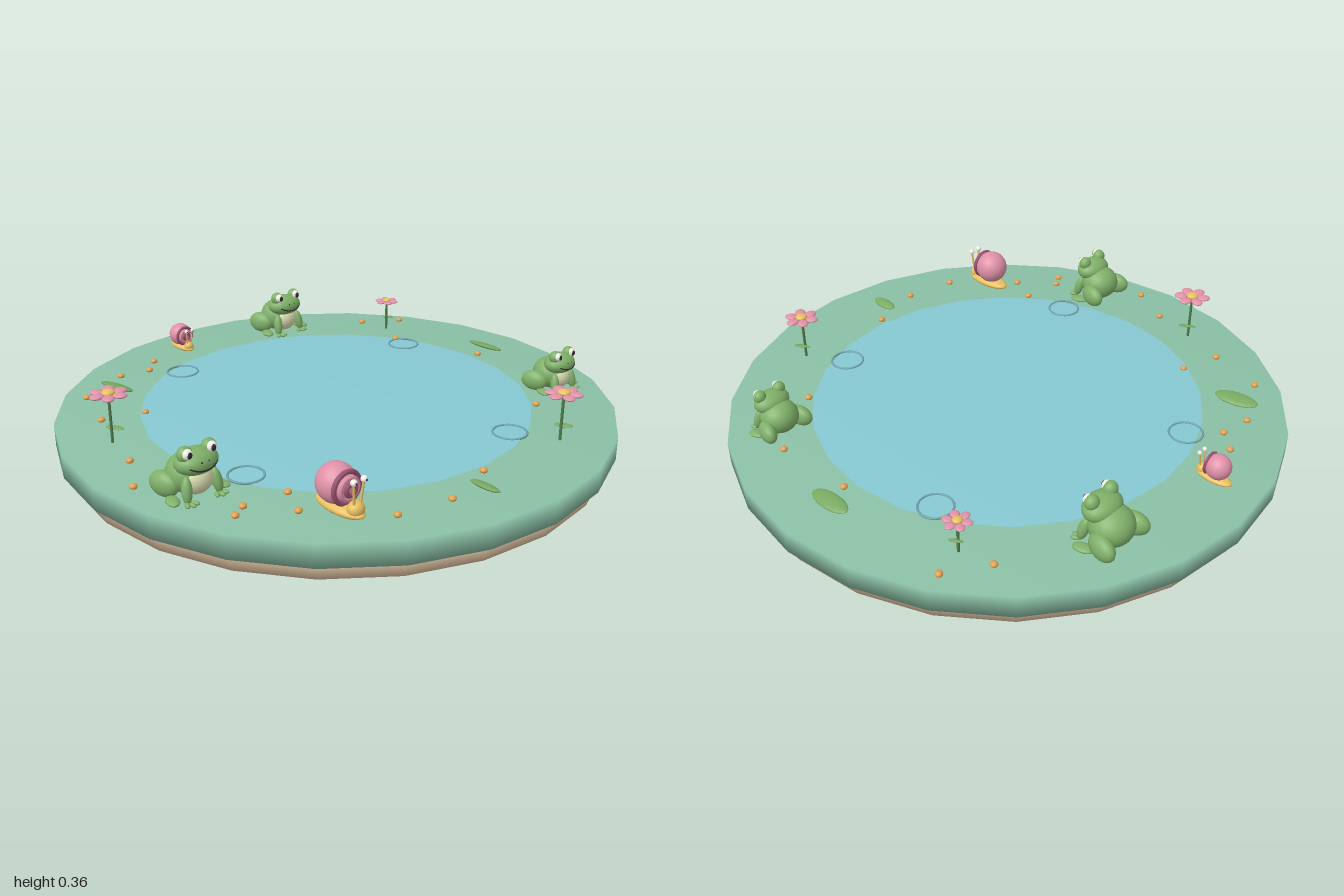
import * as THREE from 'three';

const mat = (color) => new THREE.MeshStandardMaterial({ color });
const M = {
  rim: mat(0x8bc0a6), water: mat(0x86c8d2), sand: mat(0xe3c7a5), ripple: mat(0x6fa6b2),
  frog: mat(0x7fb069), belly: mat(0xd9ddb0), white: mat(0xf6f3ea), dark: mat(0x2b2b30),
  pink: mat(0xe091a8), whorl: mat(0x9a5270), yellow: mat(0xe8bf60), pebble: mat(0xe0a050),
  stem: mat(0x4f7f4a), leaf: mat(0x77a860),
};
const GROUND = 0.168;

function add(parent, name, geo, material, pos = [0, 0, 0], rot = [0, 0, 0]) {
  const m = new THREE.Mesh(geo, material);
  m.name = name;
  m.position.set(...pos);
  m.rotation.set(...rot);
  parent.add(m);
  return m;
}

// Ellipsoid with the given radii
function blob(parent, name, material, pos, radii, rot) {
  const m = add(parent, name, new THREE.SphereGeometry(1, 20, 14), material, pos, rot);
  m.scale.set(...radii);
  return m;
}

// Straight round rod between two points
function rod(parent, name, material, a, b, r) {
  const path = new THREE.LineCurve3(new THREE.Vector3(...a), new THREE.Vector3(...b));
  return add(parent, name, new THREE.TubeGeometry(path, 1, r, 8), material);
}

function disc(parent, name, material, profile) {
  const pts = profile.map(([x, y]) => new THREE.Vector2(x, y));
  return add(parent, name, new THREE.LatheGeometry(pts, 24), material);
}

function place(parent, group, name, x, z, s = 1) {
  group.name = name;
  group.position.set(x, GROUND, z);
  group.scale.setScalar(s);
  parent.add(group);
}

function makeFrog() {
  const g = new THREE.Group();
  blob(g, 'body', M.frog, [0, 0.068, -0.01], [0.076, 0.066, 0.074]);
  blob(g, 'belly', M.belly, [0, 0.06, 0.022], [0.056, 0.052, 0.053]);
  blob(g, 'head', M.frog, [0, 0.12, 0.03], [0.074, 0.042, 0.056]);
  // Smile wrapped around the front of the head
  const smile = [];
  for (let i = -4; i <= 4; i++) {
    const a = i * 0.19;
    smile.push(new THREE.Vector3(0.072 * Math.sin(a), 0.106 + 0.014 * (i / 4) ** 2, 0.03 + 0.055 * Math.cos(a)));
  }
  add(g, 'mouth', new THREE.TubeGeometry(new THREE.CatmullRomCurve3(smile), 20, 0.0025, 6), M.dark);
  for (const s of [-1, 1]) {
    blob(g, 'eyeSocket', M.frog, [s * 0.044, 0.156, 0.037], [0.025, 0.026, 0.024]);
    blob(g, 'eyeball', M.white, [s * 0.044, 0.16, 0.05], [0.018, 0.018, 0.017]);
    blob(g, 'pupil', M.dark, [s * 0.043, 0.16, 0.063], [0.009, 0.011, 0.006]);
    blob(g, 'nostril', M.dark, [s * 0.013, 0.133, 0.08], [0.003, 0.003, 0.003]);
    blob(g, 'thigh', M.frog, [s * 0.076, 0.042, -0.035], [0.031, 0.042, 0.056], [0, -s * 0.25, 0]);
    blob(g, 'hindFoot', M.frog, [s * 0.088, 0.01, 0.025], [0.022, 0.01, 0.036], [0, s * 0.3, 0]);
    blob(g, 'frontLeg', M.frog, [s * 0.055, 0.045, 0.055], [0.017, 0.043, 0.018], [-0.2, 0, s * 0.12]);
    for (const t of [-1, 0, 1]) {
      blob(g, 'frontToe', M.frog, [s * 0.054 + t * 0.014, 0.007, 0.08 - Math.abs(t) * 0.006],
        [0.008, 0.007, 0.016], [0, t * 0.4, 0]);
    }
  }
  return g;
}

function makeSnail() {
  const g = new THREE.Group();
  blob(g, 'foot', M.yellow, [0, 0.024, 0.018], [0.042, 0.02, 0.1]);
  blob(g, 'head', M.yellow, [0, 0.04, 0.085], [0.028, 0.026, 0.026]);
  blob(g, 'shell', M.pink, [0, 0.093, 0], [0.063, 0.064, 0.064]);
  // Whorls standing out on the front of the shell
  [[0.05, 0.045], [0.034, 0.055], [0.018, 0.063]].forEach(([r, z], i) =>
    add(g, 'shellWhorl', new THREE.TorusGeometry(r, 0.008, 8, 28), i === 1 ? M.pink : M.whorl, [0, 0.093, z]));
  for (const s of [-1, 1]) {
    rod(g, 'eyeStalk', M.yellow, [s * 0.012, 0.05, 0.09], [s * 0.02, 0.13, 0.096], 0.004);
    blob(g, 'eye', M.white, [s * 0.02, 0.135, 0.097], [0.011, 0.011, 0.011]);
    blob(g, 'pupil', M.dark, [s * 0.02, 0.135, 0.106], [0.004, 0.004, 0.004]);
  }
  return g;
}

function makeFlower(h, s) {
  const g = new THREE.Group();
  rod(g, 'stem', M.stem, [0, 0, 0], [0, h, 0], 0.005);
  blob(g, 'stemLeaf', M.leaf, [0.014 * s, 0.05, 0], [0.012 * s, 0.004, 0.034 * s], [0, 0.5, 0.2]);
  for (let i = 0; i < 6; i++) {
    const a = i * Math.PI / 3;
    blob(g, 'petal', M.pink, [Math.cos(a) * 0.043 * s, h, Math.sin(a) * 0.043 * s],
      [0.025 * s, 0.008 * s, 0.021 * s], [0, -a, 0]);
  }
  blob(g, 'flowerCentre', M.yellow, [0, h + 0.004, 0], [0.023 * s, 0.012 * s, 0.023 * s]);
  return g;
}

export function createModel() {
  const root = new THREE.Group();
  root.name = 'frogPond';

  // Stacked base, bank and water
  disc(root, 'lowerBase', M.sand, [[0, 0], [0.92, 0], [0.92, 0.03], [0, 0.03]]);
  disc(root, 'upperBase', M.sand, [[0, 0.028], [0.965, 0.028], [0.965, 0.09], [0, 0.09]]);
  disc(root, 'bank', M.rim, [[0, 0.085], [1, 0.085], [1, GROUND], [0, GROUND]]);
  disc(root, 'water', M.water, [[0.705, 0.15], [0.705, 0.171], [0, 0.171]]);

  // Ripples
  for (const [x, z] of [[-0.26, -0.605], [0.6, -0.255], [-0.605, 0.255], [0.255, 0.6]]) {
    add(root, 'ripple', new THREE.TorusGeometry(0.059, 0.004, 6, 32), M.ripple, [x, 0.172, z], [Math.PI / 2, 0, 0]);
  }

  // Animals
  for (const [x, z, s] of [[0.34, -0.745, 1], [0.69, 0.44, 0.89], [-0.79, 0.23, 0.99]]) {
    place(root, makeFrog(), 'frog', x, z, s);
  }
  place(root, makeSnail(), 'largeSnail', -0.54, 0.605);
  place(root, makeSnail(), 'smallSnail', -0.115, -0.83, 0.69);

  // Flowers
  for (const [x, z, h, s] of [[-0.79, -0.235, 0.176, 1], [0.69, -0.45, 0.123, 0.72], [0.34, 0.745, 0.168, 0.95]]) {
    place(root, makeFlower(h, s), 'flower', x, z);
  }

  // Fallen leaves
  for (const [x, z, s, yaw] of [[0.82, 0, 1, 0.05], [-0.54, -0.625, 1, 0.2], [-0.115, 0.81, 0.72, 0]]) {
    blob(root, 'fallenLeaf', M.leaf, [x, GROUND + 0.012, z], [0.031 * s, 0.009, 0.08 * s], [0, yaw, -0.25]);
  }

  // Pebbles
  const pebbles = [
    [0.66, -0.57], [0.8, -0.48], [0.62, -0.32], [0.74, 0.03], [0.755, 0.33], [0.51, 0.51], [-0.03, 0.73],
    [-0.24, 0.79], [-0.43, 0.75], [-0.63, 0.54], [-0.785, 0.44], [-0.735, 0.41], [-0.58, 0.43], [-0.91, 0.09],
    [-0.825, -0.07], [-0.73, -0.41], [-0.58, -0.365], [-0.67, -0.62], [-0.465, -0.72], [-0.35, -0.7], [-0.285, -0.77],
  ];
  for (const [x, z] of pebbles) blob(root, 'pebble', M.pebble, [x, GROUND + 0.006, z], [0.013, 0.01, 0.013]);

  return root;
}
